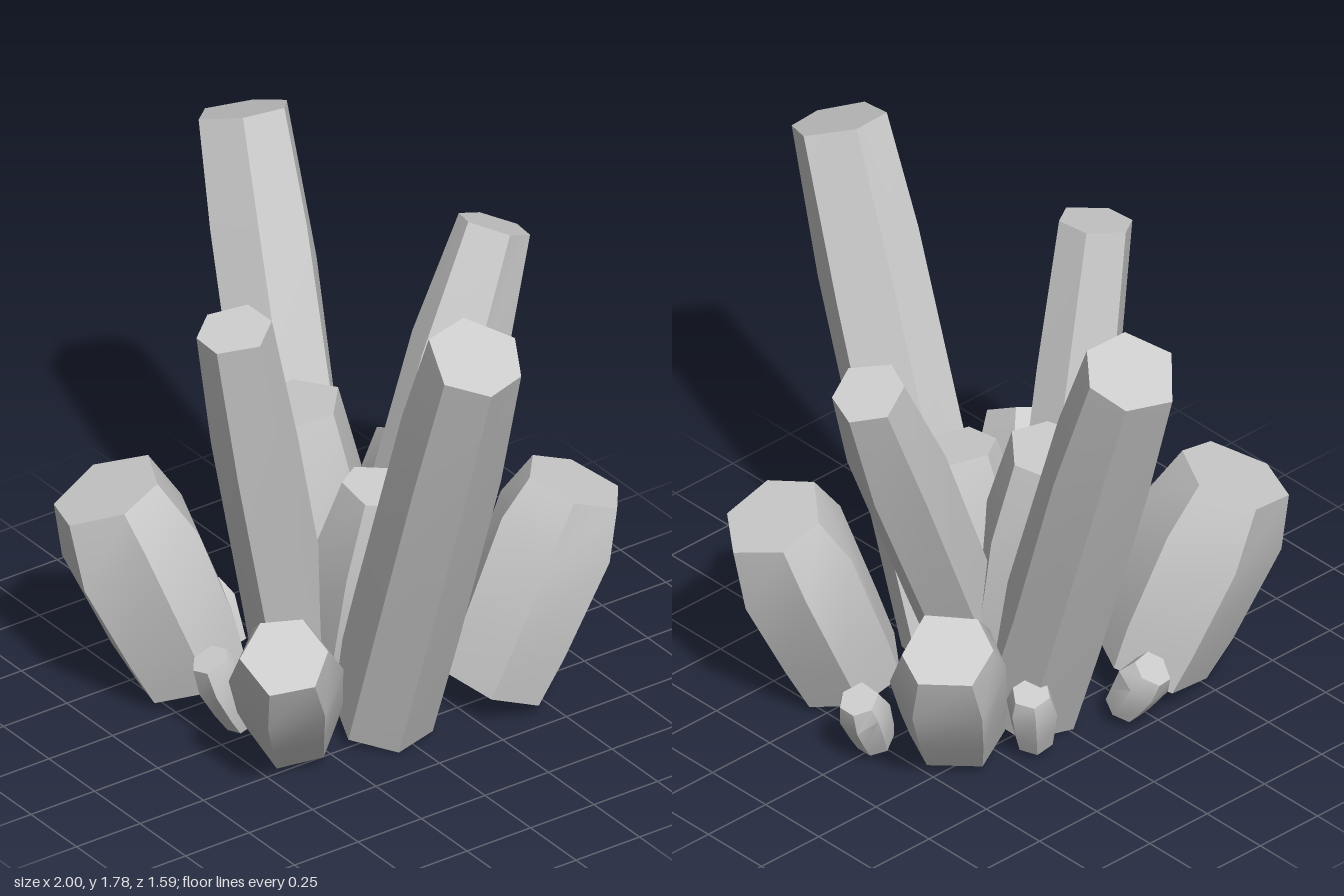
import * as THREE from 'three';
import { toCreasedNormals } from 'three/addons/utils/BufferGeometryUtils.js';

const SIDES = 6;
const material = new THREE.MeshStandardMaterial({ color: 0xcccccc });

// Small seeded generator for the irregular facets
function seeded(seed) {
  let s = seed * 791901 + 17;
  return () => (s = (s * 16807) % 2147483647) / 2147483647;
}

// Faceted prism along +y: bottom cap, lower ring, shoulder ring and top cap
function crystalGeometry(length, rBase, rMid, rTop, seed) {
  const rand = seeded(seed);
  const rings = [
    { t: 0, r: rBase, wobble: 0 },
    { t: 0.25, r: (rBase + rMid) / 2, wobble: 0.08 },
    { t: 0.72, r: rMid, wobble: 0.16 },
    { t: 1, r: rTop, wobble: 0 },
  ];
  const spin = seed * 0.7;
  const angles = Array.from({ length: SIDES }, (_, i) => spin + ((i + (rand() - 0.5) * 0.3) / SIDES) * Math.PI * 2);
  const pos = [], idx = [];
  for (const { t, r, wobble } of rings) {
    for (const a of angles) {
      const h = (t + (rand() - 0.5) * wobble) * length;
      const q = r * (0.97 + rand() * 0.07);
      pos.push(Math.cos(a) * q, h, -Math.sin(a) * q);
    }
  }
  for (let k = 0; k < rings.length - 1; k++) {
    for (let i = 0; i < SIDES; i++) {
      const a = k * SIDES + i, b = k * SIDES + ((i + 1) % SIDES);
      idx.push(a, b, b + SIDES, a, b + SIDES, a + SIDES);
    }
  }
  const last = (rings.length - 1) * SIDES;
  for (let i = 1; i < SIDES - 1; i++) {
    idx.push(0, i + 1, i, last, last + i, last + i + 1);
  }
  const geo = new THREE.BufferGeometry();
  geo.setAttribute('position', new THREE.Float32BufferAttribute(pos, 3));
  geo.setIndex(idx);
  return toCreasedNormals(geo, 0.45);
}

export function createModel() {
  const model = new THREE.Group();
  model.name = 'crystalCluster';
  const up = new THREE.Vector3(0, 1, 0);

  // Leaning crystal from its foot (x, z) to its top cap centre; its lowest corner sits at height low
  function addCrystal(name, footX, footZ, top, radius, baseScale, topScale, low) {
    const tip = new THREE.Vector3(...top);
    const run = Math.hypot(tip.x - footX, tip.z - footZ);
    const rBase = radius * baseScale;
    const foot = new THREE.Vector3(footX, low + (rBase * run) / Math.hypot(run, tip.y), footZ);
    const axis = tip.sub(foot);
    const seed = model.children.length + 1;
    const mesh = new THREE.Mesh(crystalGeometry(axis.length(), rBase, radius, radius * topScale, seed), material);
    mesh.name = name;
    mesh.position.copy(foot);
    mesh.quaternion.setFromUnitVectors(up, axis.normalize());
    model.add(mesh);
  }

  // Tall shafts, nearly even in width
  const tall = (name, x, z, top, r) => addCrystal(name, x, z, top, r, 0.98, 0.89, 0.005);
  tall('tallCrystalLeft', 0.21, 0.02, [0.85, 1.72, 0.11], 0.185);
  tall('tallCrystalRight', -0.2, -0.03, [-0.85, 1.72, -0.19], 0.178);
  tall('tallCrystalFront', -0.07, 0.13, [0.04, 1.56, 0.48], 0.138);
  addCrystal('tallCrystalBack', 0.03, -0.02, [-0.11, 1.49, -0.655], 0.155, 0.88, 0.78, 0.01);

  // Upright core
  addCrystal('coreCrystalLarge', -0.12, -0.03, [-0.24, 1, 0.05], 0.205, 0.8, 0.82, 0.02);
  addCrystal('coreCrystalSmall', 0.02, 0.05, [0.15, 0.86, -0.01], 0.165, 0.8, 0.72, 0.03);

  // Stout outer crystals, bulging at the shoulder
  const stout = (name, x, z, top, r) => addCrystal(name, x, z, top, r, 0.82, 0.78, 0.03);
  stout('stoutCrystalFrontRight', -0.32, 0.38, [-0.465, 0.765, 0.615], 0.238);
  stout('stoutCrystalBackLeft', 0.28, -0.365, [0.36, 0.765, -0.63], 0.225);
  stout('stoutCrystalFrontLeft', 0.18, 0.35, [0.455, 0.58, 0.58], 0.182);
  stout('stoutCrystalBackRight', -0.21, -0.36, [-0.4, 0.6, -0.58], 0.188);

  // Small shards around the foot
  const shard = (name, x, z, top) => addCrystal(name, x, z, top, 0.085, 0.72, 0.76, 0.03);
  shard('shardFront', -0.02, 0.4, [-0.035, 0.31, 0.52]);
  shard('shardBack', -0.02, -0.54, [-0.04, 0.26, -0.63]);
  shard('shardRight', -0.42, 0.17, [-0.53, 0.24, 0.2]);
  shard('shardBackRight', -0.36, -0.16, [-0.41, 0.28, -0.22]);

  return model;
}
